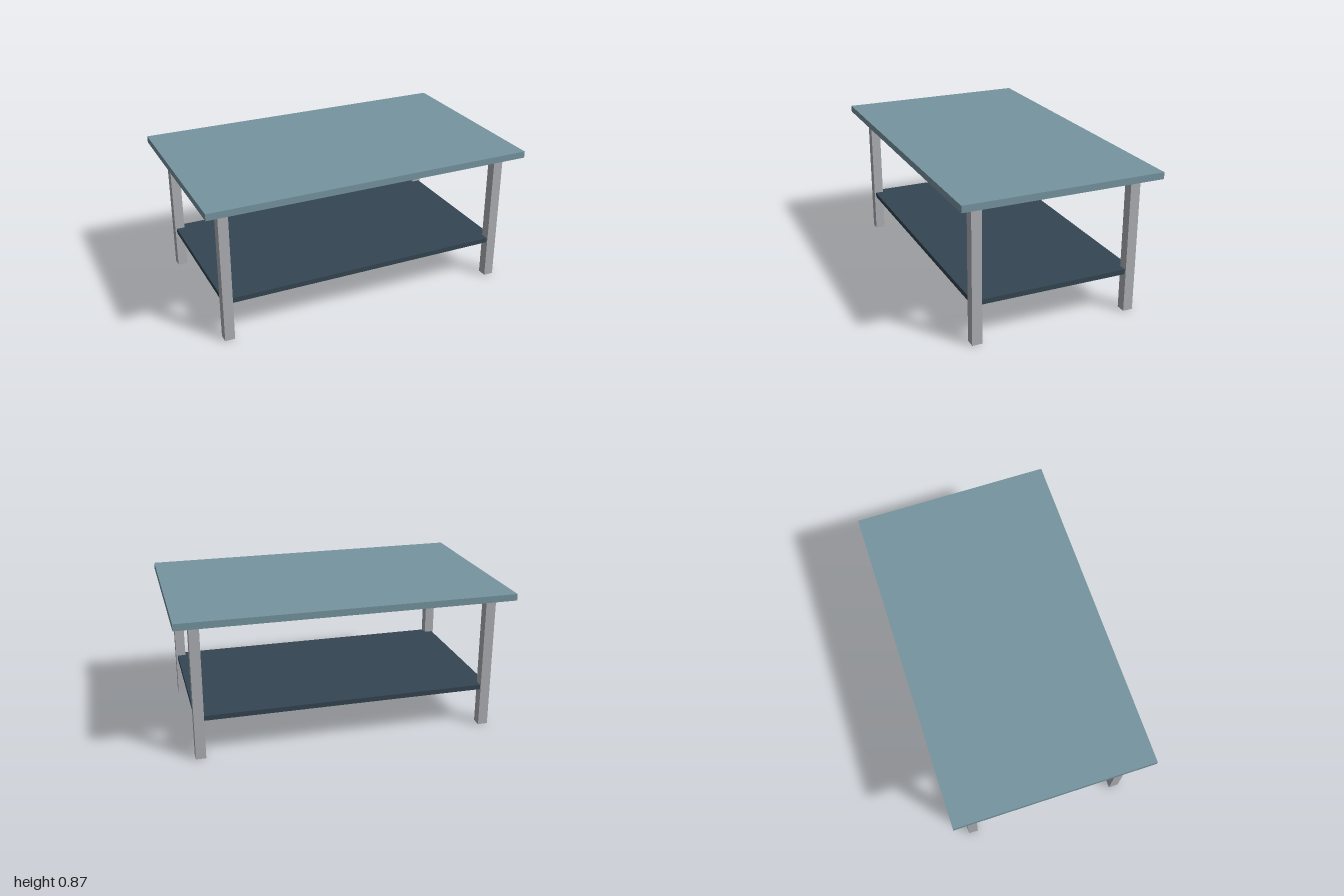
import * as THREE from 'three';

const material = (name, color) => {
  const m = new THREE.MeshStandardMaterial({ color });
  m.name = name;
  return m;
};

export function createModel() {
  const table = new THREE.Group();
  table.name = 'coffeeTable';

  const topBlue = material('greyBlue', 0x76949f);
  const shelfBlue = material('darkSlate', 0x344552);
  const legGrey = material('lightGrey', 0xadafb4);

  // Adds a box given its size, bottom height and centre
  const addBox = (name, [w, h, d], mat, x, bottom, z) => {
    const mesh = new THREE.Mesh(new THREE.BoxGeometry(w, h, d), mat);
    mesh.name = name;
    mesh.position.set(x, bottom + h / 2, z);
    table.add(mesh);
  };

  // Table top, floating slightly above the legs
  addBox('tableTop', [2, 0.04, 1.2], topBlue, 0, 0.832, 0);

  // Lower shelf, its corners set into the legs
  addBox('shelf', [1.8, 0.03, 1], shelfBlue, 0, 0.236, 0);

  // Four square legs
  for (const [sx, side] of [[-1, 'Right'], [1, 'Left']]) {
    for (const [sz, end] of [[1, 'front'], [-1, 'back']]) {
      addBox(`${end}${side}Leg`, [0.06, 0.82, 0.06], legGrey, sx * 0.88, 0, sz * 0.48);
    }
  }

  return table;
}
